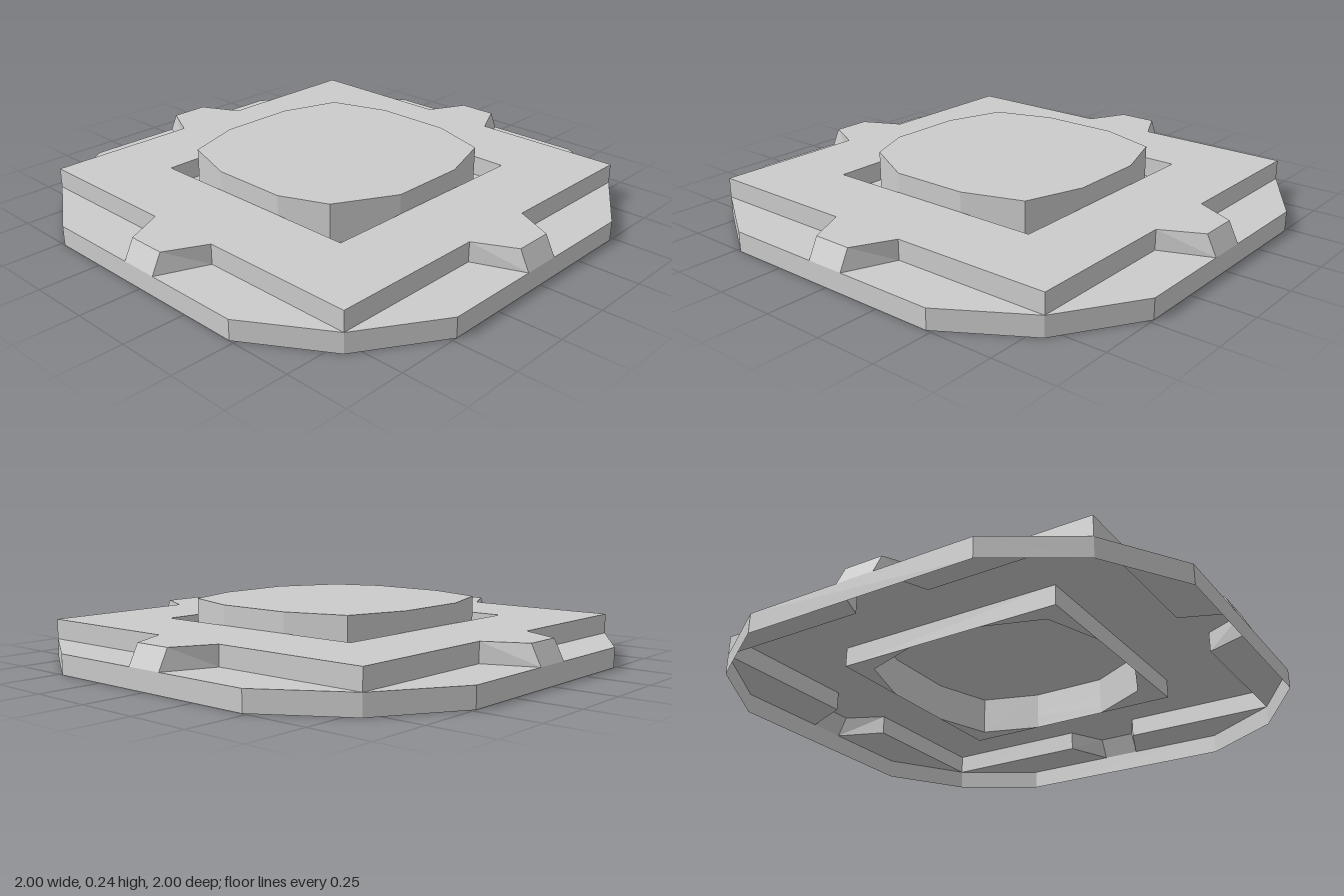
import * as THREE from 'three';

const material = new THREE.MeshStandardMaterial({ color: 0xcccccc, flatShading: true, side: THREE.DoubleSide });

// Repeat a quarter outline of [x, z] points four times around the y axis.
function quarters(points) {
  const out = [];
  for (let k = 0; k < 4; k++) {
    for (const [x, z] of points) out.push([[x, z], [-z, x], [-x, -z], [z, -x]][k]);
  }
  return out;
}

// Strip of quads joining a lower outline to an upper one.
function wall(lower, y0, upper, y1) {
  const pos = [];
  lower.forEach((a, i) => {
    const j = (i + 1) % lower.length;
    const p = [a[0], y0, a[1]], q = [upper[i][0], y1, upper[i][1]];
    const r = [upper[j][0], y1, upper[j][1]], s = [lower[j][0], y0, lower[j][1]];
    pos.push(...p, ...q, ...r, ...p, ...r, ...s);
  });
  const g = new THREE.BufferGeometry();
  g.setAttribute('position', new THREE.Float32BufferAttribute(pos, 3));
  g.computeVertexNormals();
  return g;
}

// Horizontal face, optionally with a hole.
function flat(outline, y, hole) {
  const pts = (o) => o.map(([x, z]) => new THREE.Vector2(x, -z));
  const shape = new THREE.Shape(pts(outline));
  if (hole) shape.holes.push(new THREE.Path(pts(hole)));
  return new THREE.ShapeGeometry(shape).rotateX(-Math.PI / 2).translate(0, y, 0);
}

export function createModel() {
  const model = new THREE.Group();
  model.name = 'steppedPlate';
  const add = (name, geometry) => {
    const mesh = new THREE.Mesh(geometry, material);
    mesh.name = name;
    model.add(mesh);
  };

  const Y1 = 0.08, Y2 = 0.16, Y3 = 0.24;
  const plate = (tip) => quarters([[0.8, -0.16], [tip, -0.08], [tip, 0.08], [0.8, 0.16], [0.8, 0.8]]);
  const base = quarters([[1, -0.48], [1, 0.48], [0.8, 0.8]]);
  const hole = quarters([[0.48, 0.48]]);
  const button = quarters([[0.48, -0.16], [0.48, 0.16], [0.4, 0.4]]);
  button[2] = [0.35, 0.4]; // one corner is cut back further

  // Twelve-sided skirt, open underneath
  add('baseSkirt', wall(base, 0, base, Y1));

  // Ledge segments between the tabs and the corners
  const ledge = [[1, 0.08], [1, 0.48], [0.8, 0.8], [0.8, 0.16]];
  for (const side of [1, -1]) {
    const all = quarters(ledge.map(([x, z]) => [x, z * side]));
    for (let k = 0; k < 4; k++) add('baseLedge', flat(all.slice(k * 4, k * 4 + 4), Y1));
  }

  // Square plate with a sloped tab on each side and a square recess
  add('plateWall', wall(plate(1), Y1, plate(0.96), Y2));
  add('plateTop', flat(plate(0.96), Y2, hole));
  add('recessWall', wall(hole, Y2, hole, Y1));

  // Recess floor shows only in the corners around the button
  for (let k = 0; k < 4; k++) {
    const next = button[(k * 3 + 3) % 12];
    add('recessFloor', flat([button[k * 3 + 1], hole[k], next, button[k * 3 + 2]], Y1));
  }

  // Raised centre button
  add('buttonWall', wall(button, Y1, button, Y3));
  add('buttonTop', flat(button, Y3));
  return model;
}
